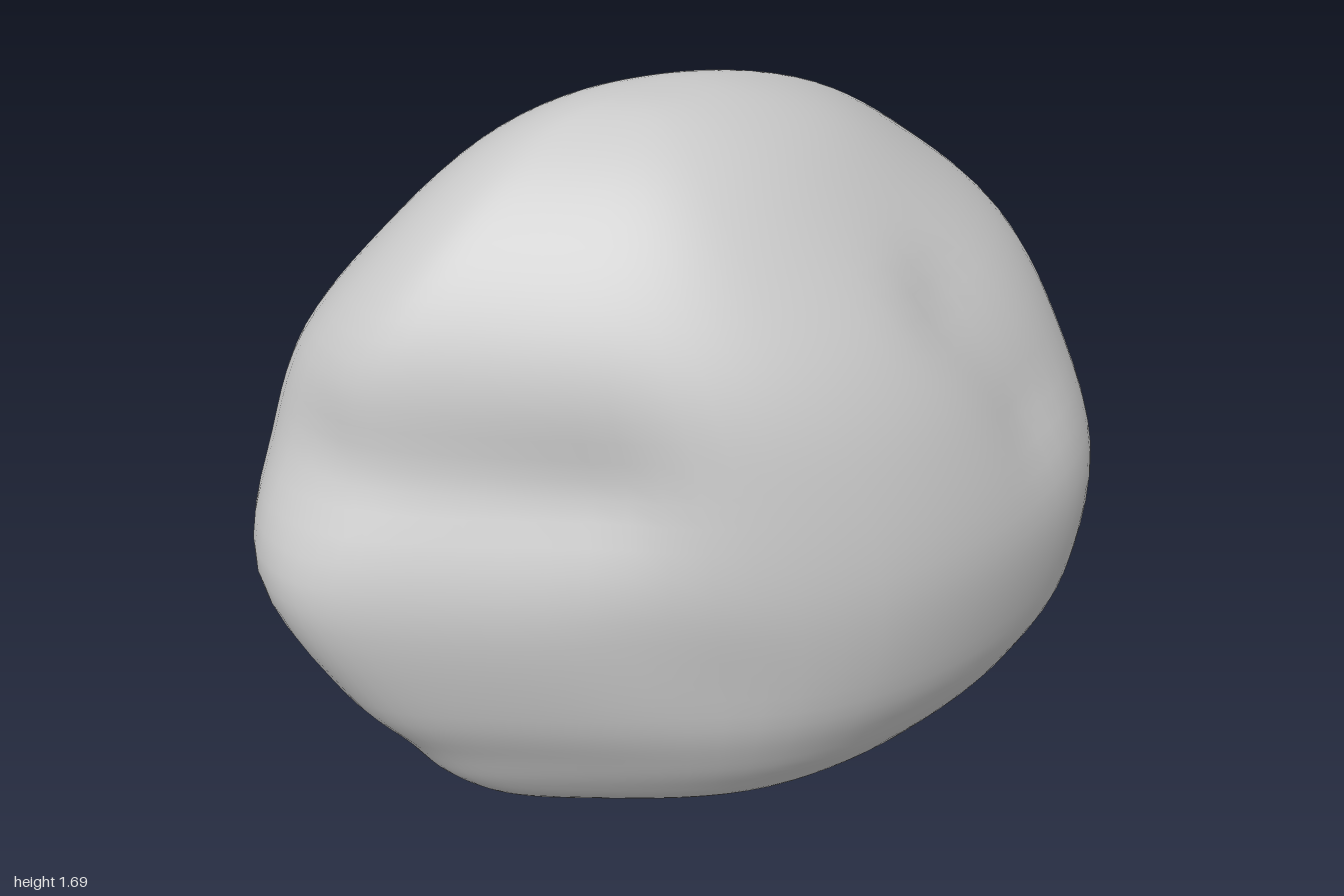
import * as THREE from 'three';

// Horizontal sections, bottom to top:
// [y, left x, left z, right x, right z, front x, front z, back x, back z]
const sections = [
  [0.00, -0.10, 0.03, -0.10, 0.03, -0.10, 0.03, -0.10, 0.03],
  [0.05, -0.39, 0.04, 0.40, 0.09, 0.02, 0.21, 0.00, -0.13],
  [0.12, -0.55, 0.04, 0.60, 0.11, 0.06, 0.36, 0.05, -0.27],
  [0.20, -0.66, 0.03, 0.73, 0.11, 0.09, 0.44, 0.08, -0.39],
  [0.30, -0.74, 0.02, 0.84, 0.10, 0.11, 0.51, 0.10, -0.47],
  [0.46, -0.87, 0.01, 0.94, 0.08, 0.14, 0.58, 0.12, -0.545],
  [0.73, -1.00, -0.03, 1.00, 0.01, 0.15, 0.62, 0.15, -0.61],
  [1.00, -0.94, -0.06, 0.96, -0.14, 0.10, 0.59, 0.16, -0.61],
  [1.22, -0.86, -0.05, 0.875, -0.27, 0.02, 0.52, 0.17, -0.55],
  [1.42, -0.69, -0.02, 0.65, -0.26, -0.05, 0.39, 0.12, -0.44],
  [1.58, -0.49, -0.02, 0.40, -0.17, -0.08, 0.24, 0.00, -0.30],
  [1.67, -0.29, -0.03, 0.14, -0.09, -0.09, 0.09, -0.05, -0.16],
  [1.69, -0.10, -0.05, -0.10, -0.05, -0.10, -0.05, -0.10, -0.05],
];

// Shallow hollows: start, end, radius, depth
const hollows = [
  [[-0.88, 1.04, 0.08], [-0.42, 1.02, 0.40], 0.17, 0.06],
  [[0.46, 1.24, 0.36], [0.65, 0.98, 0.38], 0.14, 0.035],
  [[-0.30, 0.66, 0.46], [-0.20, 0.56, 0.52], 0.16, 0.015],
  [[-0.60, 0.85, -0.42], [-0.45, 0.85, -0.50], 0.16, 0.02],
].map(([a, b, radius, depth]) => ({
  line: new THREE.Line3(new THREE.Vector3(...a), new THREE.Vector3(...b)), radius, depth,
}));

// Smooth interpolation of one section column; both ends close as round caps
function sample(col, t) {
  const last = sections.length - 1;
  const i = Math.min(Math.floor(t), last - 1);
  const f = t - i;
  const at = (k) => {
    if (k >= 0 && k <= last) return sections[k][col];
    const end = k < 0 ? 0 : last;
    const inner = k < 0 ? 1 : last - 1;
    return col === 0 ? sections[inner][0] : 2 * sections[end][col] - sections[inner][col];
  };
  const [a, b, c, d] = [at(i - 1), at(i), at(i + 1), at(i + 2)];
  return b + 0.5 * f * (c - a + f * (2 * a - 5 * b + 4 * c - d + f * (3 * (b - c) + d - a)));
}

// Point on a section, joining its four extremes with rounded quarters
function surfacePoint(t, angle) {
  const [y, lx, lz, rx, rz, fx, fz, bx, bz] = sections[0].map((_, col) => sample(col, t));
  const c = Math.cos(angle), s = Math.sin(angle);
  const [ex, ez] = c >= 0 ? [rx, rz] : [lx, lz];
  const [sx, sz] = s >= 0 ? [fx, fz] : [bx, bz];
  // how much the flank is flattened; the front left most of all
  const flat = s < 0 ? -0.03 : c < 0 ? 0.16 : 0.05;
  const reach = Math.abs(s) - flat * Math.sin(2 * angle) ** 2;
  const p = new THREE.Vector3(sx + (ex - sx) * Math.abs(c), y, ez + (sz - ez) * reach);

  const inward = new THREE.Vector3(0, 0.85, 0).sub(p).normalize();
  const nearest = new THREE.Vector3();
  let push = 0;
  for (const h of hollows) {
    h.line.closestPointToPoint(p, true, nearest);
    push += h.depth * Math.exp(-nearest.distanceToSquared(p) / (h.radius * h.radius));
  }
  return p.addScaledVector(inward, push);
}

function boulderGeometry(rows, around) {
  const positions = [], index = [];
  const span = sections.length - 1;
  const add = (p) => positions.push(p.x, p.y, p.z);
  add(surfacePoint(0, 0));
  for (let r = 1; r < rows; r++) {
    for (let j = 0; j < around; j++) add(surfacePoint(span * r / rows, j / around * Math.PI * 2));
  }
  add(surfacePoint(span, 0));
  const top = (rows - 1) * around + 1;
  const id = (r, j) => r === 0 ? 0 : r === rows ? top : 1 + (r - 1) * around + j % around;
  for (let r = 0; r < rows; r++) {
    for (let j = 0; j < around; j++) {
      const a = id(r, j), b = id(r, j + 1), c = id(r + 1, j), d = id(r + 1, j + 1);
      if (r < rows - 1) index.push(a, c, d);
      if (r > 0) index.push(a, d, b);
    }
  }
  const geometry = new THREE.BufferGeometry();
  geometry.setAttribute('position', new THREE.Float32BufferAttribute(positions, 3));
  geometry.setIndex(index);
  geometry.computeVertexNormals();
  return geometry;
}

export function createModel() {
  const stone = new THREE.MeshStandardMaterial({ color: 0xcacaca });
  stone.name = 'light stone grey';
  const boulder = new THREE.Mesh(boulderGeometry(60, 80), stone);
  boulder.name = 'boulder';
  const group = new THREE.Group();
  group.name = 'rock';
  group.add(boulder);
  return group;
}
